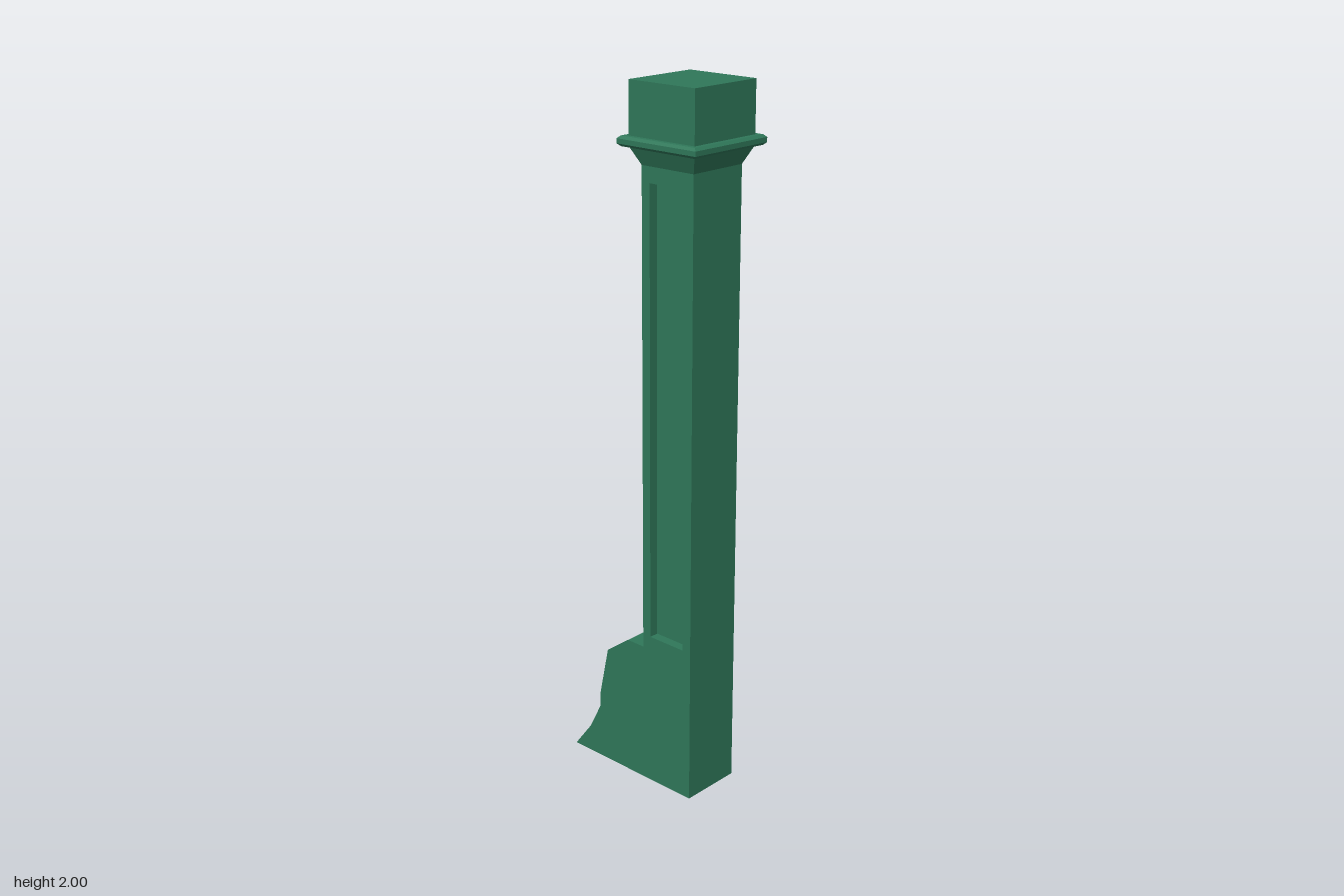
import * as THREE from 'three';

const CX = 0.1165, HX = 0.0885, HZ = 0.092; // shaft centre and half sizes
const Y0 = 0.42, Y1 = 1.785;                // shaft bottom and top
const D = 0.028;                            // recess depth

// Stack of rectangular sections, each [outward offset from the shaft, y]
function loft(sections) {
  const pos = [];
  const corner = ([o, y], i) => {
    const [sx, sz] = [[-1, 1], [1, 1], [1, -1], [-1, -1]][i % 4];
    return [CX + sx * (HX + o), y, sz * (HZ + o)];
  };
  const quad = (a, b, c, d) => pos.push(...a, ...b, ...c, ...a, ...c, ...d);
  for (let s = 0; s < sections.length - 1; s++) {
    for (let i = 0; i < 4; i++) {
      quad(corner(sections[s], i), corner(sections[s], i + 1),
        corner(sections[s + 1], i + 1), corner(sections[s + 1], i));
    }
  }
  const top = sections[sections.length - 1], bottom = sections[0];
  quad(...[0, 1, 2, 3].map(i => corner(top, i)));
  quad(...[3, 2, 1, 0].map(i => corner(bottom, i)));
  const g = new THREE.BufferGeometry();
  g.setAttribute('position', new THREE.Float32BufferAttribute(pos, 3));
  g.computeVertexNormals();
  return g;
}

// Upright rectangular frame around a panel opening, centred on its width
function frame(half, openHalf) {
  const rect = (C, h, a, b) => new C([[-h, a], [h, a], [h, b], [-h, b]].map(p => new THREE.Vector2(...p)));
  const shape = rect(THREE.Shape, half, Y0, Y1);
  shape.holes.push(rect(THREE.Path, openHalf, 0.46, 1.742));
  return new THREE.ExtrudeGeometry(shape, { depth: D, bevelEnabled: false });
}

export function createModel() {
  const model = new THREE.Group();
  const green = new THREE.MeshStandardMaterial({ color: 0x2f7759 });
  green.name = 'green paint';
  const add = (name, geometry, parent = model) => {
    const mesh = new THREE.Mesh(geometry, green);
    mesh.name = name;
    parent.add(mesh);
    return mesh;
  };

  // Foot with a stepped bracket profile
  const profile = [[-0.25, 0], [CX + HX, 0], [CX + HX, Y0], [-0.032, Y0], [-0.113, 0.36],
    [-0.145, 0.21], [-0.146, 0.165], [-0.188, 0.082]];
  const foot = new THREE.Shape(profile.map(p => new THREE.Vector2(...p)));
  add('foot', new THREE.ExtrudeGeometry(foot, { depth: 2 * HZ, bevelEnabled: false }).translate(0, 0, -HZ));

  // Shaft core, set back behind the panel frames
  add('shaftCore', new THREE.BoxGeometry(2 * HX - D, Y1 - Y0, 2 * (HZ - D))
    .translate(CX + D / 2, (Y0 + Y1) / 2, 0));
  add('frontPanelFrame', frame(HX, 0.061).translate(CX, 0, HZ - D));
  add('backPanelFrame', frame(HX, 0.061).translate(CX, 0, -HZ));
  add('sidePanelFrame', frame(HZ - D, 0.055).rotateY(-Math.PI / 2).translate(CX - HX + D, 0, 0));

  // Row of studs in the side recess
  const studs = new THREE.Group();
  studs.name = 'studs';
  model.add(studs);
  const studGeometry = new THREE.CylinderGeometry(0.019, 0.028, 0.022, 8).toNonIndexed();
  studGeometry.rotateZ(Math.PI / 2);
  studGeometry.computeVertexNormals();
  for (let i = 0; i < 8; i++) {
    add('stud', studGeometry, studs).position.set(CX - HX + D - 0.011, 0.55 + i * 0.157, 0);
  }

  // Capital: flared neck, moulded collar and top block
  add('neck', loft([[0, Y1], [0.023, 1.833]]));
  add('collar', loft([[0.037, 1.833], [0.0445, 1.84], [0.0445, 1.853], [0.037, 1.86]]));
  add('topBlock', loft([[0.023, 1.86], [0.023, 2]]));
  return model;
}
